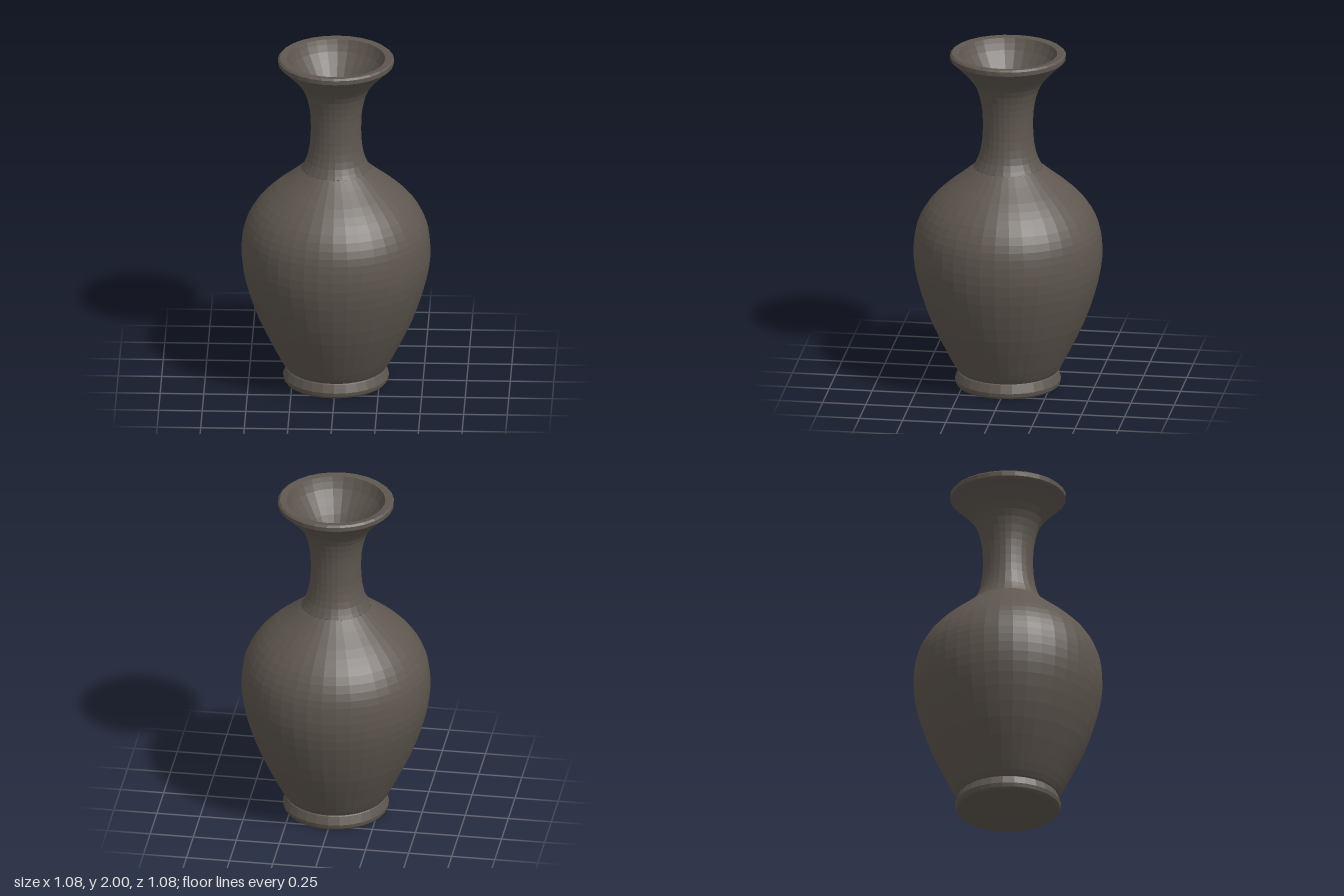
import * as THREE from 'three';

const clay = new THREE.MeshStandardMaterial({ color: 0x5f5750, flatShading: true });
clay.name = 'dark clay';

// Revolves a [radius, height] profile; points run upward on outer walls
function turned(name, profile, segments) {
  const points = profile.map(([r, y]) => new THREE.Vector2(r, y));
  const mesh = new THREE.Mesh(new THREE.LatheGeometry(points, segments), clay);
  mesh.name = name;
  return mesh;
}

// Smooths a profile through its control points
function smooth(profile, count) {
  const curve = new THREE.SplineCurve(profile.map(([r, y]) => new THREE.Vector2(r, y)));
  return curve.getPoints(count).map((p) => [Math.max(p.x, 0), p.y]);
}

export function createModel() {
  const vase = new THREE.Group();
  vase.name = 'vase';

  // Closed base and foot ring
  vase.add(turned('foot', [
    [0, 0], [0.29, 0], [0.3, 0.012], [0.305, 0.035], [0.288, 0.082], [0.275, 0.092],
  ], 28));

  // Round belly and sloping shoulder
  vase.add(turned('body', smooth([
    [0.275, 0.085], [0.295, 0.1], [0.35, 0.2], [0.445, 0.4], [0.512, 0.6], [0.54, 0.75],
    [0.538, 0.88], [0.515, 0.98], [0.46, 1.08], [0.375, 1.17], [0.27, 1.255], [0.198, 1.315],
  ], 26), 40));

  // Slim neck flaring to the lip
  vase.add(turned('neck', smooth([
    [0.198, 1.315], [0.167, 1.38], [0.148, 1.48], [0.145, 1.6], [0.155, 1.7],
    [0.185, 1.8], [0.245, 1.88], [0.322, 1.955],
  ], 16), 28));

  // Lip with a flat top edge
  vase.add(turned('lip', [
    [0.322, 1.955], [0.332, 1.965], [0.333, 1.99], [0.322, 2], [0.283, 1.995],
  ], 28));

  // Funnel-shaped inside, closing within the neck
  vase.add(turned('throat', smooth([
    [0.283, 1.995], [0.255, 1.93], [0.2, 1.85], [0.145, 1.76], [0.11, 1.64], [0.08, 1.52], [0, 1.47],
  ], 12), 28));

  return vase;
}
